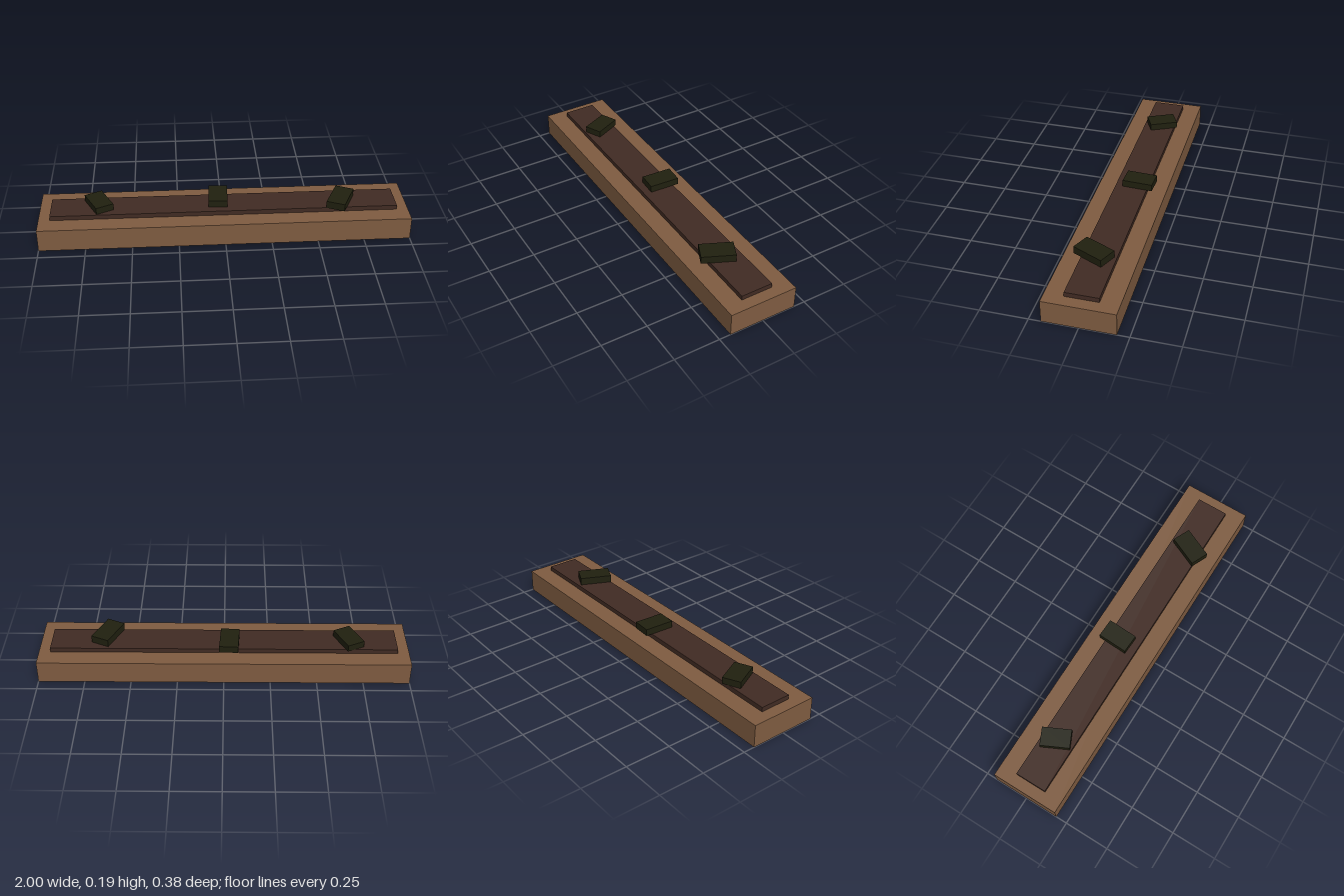
import * as THREE from 'three';

const material = (name, color, side = THREE.FrontSide) => {
  const m = new THREE.MeshStandardMaterial({ color, side });
  m.name = name;
  return m;
};

// Box standing on height y
function block(name, [w, h, d], [x, y, z], mat, turn = 0) {
  const mesh = new THREE.Mesh(new THREE.BoxGeometry(w, h, d), mat);
  mesh.name = name;
  mesh.position.set(x, y + h / 2, z);
  mesh.rotation.y = turn;
  return mesh;
}

export function createModel() {
  const wood = material('wood brown', 0x7f5c41, THREE.DoubleSide);
  const soil = material('dark soil', 0x412b23);
  const leaf = material('dark green', 0x20200f);
  const model = new THREE.Group();
  model.name = 'planter';

  // Thin-walled trough, open underneath: drop the box's bottom face
  const trough = block('trough', [2, 0.125, 0.375], [0, 0, 0], wood);
  const index = Array.from(trough.geometry.index.array);
  index.splice(18, 6);
  trough.geometry.setIndex(index);
  trough.geometry.clearGroups();
  model.add(trough);

  // Raised soil bed
  model.add(block('soilBed', [1.875, 0.025, 0.175], [0, 0.125, 0], soil));

  // Clumps: width, height, depth, x, z, turn
  const clumps = [
    [0.1, 0.037, 0.158, -0.677, -0.012, 0.45],
    [0.102, 0.038, 0.165, -0.03, -0.037, -0.05],
    [0.102, 0.041, 0.178, 0.634, 0.029, -0.43],
  ];
  clumps.forEach(([w, h, d, x, z, turn], i) =>
    model.add(block(`clump${i + 1}`, [w, h, d], [x, 0.15, z], leaf, turn)));

  return model;
}
